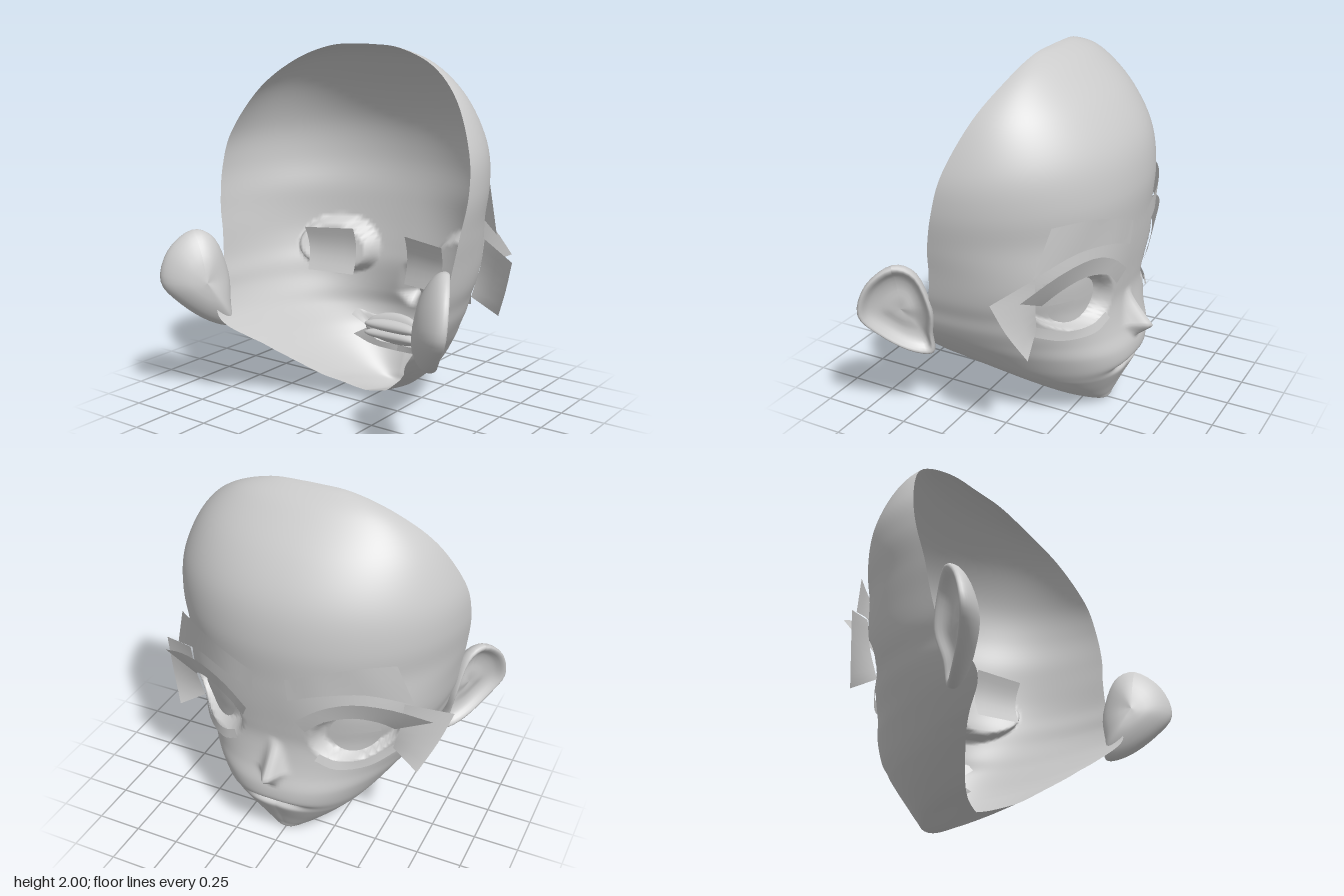
import * as THREE from 'three';

const material = new THREE.MeshStandardMaterial({ color: 0xcccccc, side: THREE.DoubleSide });
const V = (x, y, z) => new THREE.Vector3(x, y, z);
const spline = (pts, closed = false) => new THREE.CatmullRomCurve3(pts, closed, 'catmullrom', 0.5);
const bell = (d, w) => Math.exp(-((d / w) ** 2));
const { smoothstep } = THREE.MathUtils;

// Smooth sheet of nu x nv cells from a point rule fn(u, v)
function sheet(name, fn, nu, nv) {
  const pos = [], idx = [];
  for (let j = 0; j <= nv; j++) {
    for (let i = 0; i <= nu; i++) {
      const p = fn(i / nu, j / nv);
      pos.push(p.x, p.y, p.z);
      if (i < nu && j < nv) {
        const a = j * (nu + 1) + i, b = a + nu + 1;
        idx.push(a, a + 1, b, a + 1, b + 1, b);
      }
    }
  }
  const g = new THREE.BufferGeometry();
  g.setAttribute('position', new THREE.Float32BufferAttribute(pos, 3));
  g.setIndex(idx);
  g.computeVertexNormals();
  const mesh = new THREE.Mesh(g, material);
  mesh.name = name;
  return mesh;
}

// Strip stretched between two edge curves, s mirrors it
function band(name, inner, outer, s, n = 12) {
  const a = spline(inner.map((p) => V(...p))), b = spline(outer.map((p) => V(...p)));
  return sheet(name, (u, v) => {
    const p = a.getPoint(u).lerp(b.getPoint(u), v);
    p.x *= s;
    return p;
  }, n, 2);
}

// Head rows, crown to throat: midline y, z, then open edge x, y, z
const rows = [
  [2, -0.04, 0, 2, -0.04], [1.98, -0.1, 0.22, 1.985, -0.03],
  [1.91, -0.21, 0.45, 1.9, 0], [1.74, -0.38, 0.64, 1.74, 0.08],
  [1.54, -0.5, 0.77, 1.5, 0.175], [1.32, -0.54, 0.8, 1.3, 0.225],
  [1.1, -0.525, 0.78, 1.1, 0.27], [0.95, -0.51, 0.755, 0.95, 0.285],
  [0.8, -0.49, 0.73, 0.8, 0.31], [0.7, -0.48, 0.7, 0.7, 0.35],
  [0.6, -0.49, 0.68, 0.62, 0.41], [0.51, -0.51, 0.64, 0.53, 0.47],
  [0.42, -0.54, 0.59, 0.46, 0.45], [0.34, -0.54, 0.52, 0.38, 0.35],
  [0.29, -0.51, 0.47, 0.335, 0.29], [0.24, -0.485, 0.42, 0.29, 0.24],
  [0.15, -0.44, 0.33, 0.22, 0.16], [0.06, -0.4, 0.22, 0.14, 0.07],
  [0.01, -0.37, 0.13, 0.1, 0.01], [0.01, -0.25, 0.06, 0.075, -0.02],
  [0.06, -0.04, 0, 0.06, -0.04],
];
const midline = spline(rows.map((r) => V(0, r[0], r[1])));
const edge = spline(rows.map((r) => V(r[2], r[3], r[4])));

// Superellipse depth, 1 at the midline to 0 at the edge; the lower face is squarer
function depth(s, y) {
  const p = 0.95 - 0.15 * (1 - smoothstep(y, 0.85, 1.2)) * (0.5 + 0.5 * smoothstep(y, 0.1, 0.5));
  return Math.max(0, 1 - Math.abs(s) ** (2 / p)) ** (p / 2);
}

// Face depth at x, y, before the features are modelled
function faceZ(x, y) {
  let lo = 0, hi = 0.9;
  for (let i = 0; i < 24; i++) {
    const m = (lo + hi) / 2;
    if (midline.getPoint(m).y > y) lo = m; else hi = m;
  }
  const M = midline.getPoint(lo), E = edge.getPoint(lo);
  return E.z + (M.z - E.z) * depth(x / E.x, M.y);
}

// Face shell with nose, mouth crease and eye sockets
function facePoint(u, v) {
  const M = midline.getPoint(v), E = edge.getPoint(v);
  const t = (u - 0.5) * Math.PI, s = Math.sin(t);
  const x = E.x * s;
  let y = E.y + (M.y - E.y) * Math.cos(t);
  let z = E.z + (M.z - E.z) * depth(s, M.y);
  const jaw = smoothstep(v, 0.6, 0.72) * (1 - smoothstep(v, 0.76, 0.92));
  y -= 0.04 * jaw * Math.abs(Math.sin(2 * t));
  if (z < 0 && v < 0.85) {
    const nose = Math.max(0, y > 0.52 ? 1 - (y - 0.52) / 0.19 : 1 - (0.52 - y) / 0.08);
    z -= 0.13 * nose * bell(x, 0.025 + 0.025 * nose);
    z += 0.06 * bell(y - 0.295, 0.025) * bell(x, 0.15);
    const dx = Math.abs(x) - 0.405;
    const e = Math.hypot(dx / 0.205, (y - 0.79 - 0.15 * dx) / 0.16);
    z += 0.085 * (1 - smoothstep(e, 0.82, 1.02));
  }
  return V(x, y, z);
}

// Ear: nested rings around one outline, from back of the cup over the rim into the bowl
const earOutline = spline([
  V(0.83, 0.975, 0.46), V(0.9, 0.87, 0.58), V(0.915, 0.7, 0.63), V(0.84, 0.57, 0.56),
  V(0.745, 0.46, 0.44), V(0.665, 0.43, 0.34), V(0.68, 0.55, 0.33), V(0.72, 0.72, 0.3), V(0.76, 0.92, 0.36),
], true);
const earProfile = spline([ // scale, offset
  [0, -0.13], [0.45, -0.12], [0.78, -0.085], [0.96, -0.045], [1, -0.01],
  [0.96, 0.015], [0.87, 0.01], [0.74, -0.025], [0.5, -0.04], [0.25, -0.03], [0, -0.03],
].map(([s, n]) => V(s, n, 0)));
function ear(s) {
  const centre = V(0.78, 0.7, 0.46), outward = V(0.85, 0, -0.4);
  return sheet('ear', (u, v) => {
    const r = earProfile.getPoint(v);
    const p = centre.clone().lerp(earOutline.getPoint(u), r.x).addScaledVector(outward, r.y);
    p.x *= s;
    return p;
  }, 36, 24);
}

function eye(s) {
  const g = new THREE.Group();
  g.name = 'eye';
  // Rounded iris lying in the socket
  g.add(sheet('iris', (u, v) => {
    const a = u * Math.PI * 2, x = 0.4 + 0.12 * v * Math.cos(a), y = 0.79 + 0.13 * v * Math.sin(a);
    return V(s * x, y, faceZ(x, y) + 0.055);
  }, 28, 4));
  // Curved plate behind the socket
  g.add(sheet('eyePlate', (u, v) => {
    const x = 0.175 + u * (0.285 - 0.02 * v);
    return V(s * x, 0.95 - 0.27 * v + 0.01 * u * (2 * v - 1), -0.17 + 0.08 * u - 0.03 * Math.sin(v * Math.PI));
  }, 4, 6));
  const on = (x, y, lift) => [x, y, faceZ(x, y) - lift];
  // Upper lash overhangs the eye, a separate wing sweeps back behind its corner
  g.add(band('upperLash',
    [on(0.18, 0.82, 0.01), on(0.28, 0.91, 0.01), on(0.42, 0.945, 0.01), on(0.53, 0.9, 0.01), on(0.59, 0.82, 0.01)],
    [on(0.14, 0.9, 0.03), [0.27, 1, -0.51], [0.43, 1.055, -0.47], [0.61, 1.02, -0.38], [0.79, 0.92, -0.26]], s));
  g.add(band('lashWing',
    [on(0.63, 0.98, 0.02), on(0.61, 0.82, 0.015), on(0.57, 0.66, 0.015)],
    [[0.86, 0.91, -0.13], [0.8, 0.74, -0.185], [0.72, 0.57, -0.26]], s, 6));
  g.add(band('lowerLash',
    [on(0.57, 0.68, 0.01), on(0.46, 0.635, 0.01), on(0.34, 0.64, 0.01), on(0.25, 0.68, 0.01)],
    [on(0.59, 0.63, 0.03), on(0.48, 0.585, 0.02), on(0.34, 0.59, 0.02), on(0.23, 0.64, 0.02)], s));
  // Brow
  g.add(band('brow',
    [on(0.1, 1.02, 0.012), on(0.28, 1.085, 0.02), on(0.48, 1.09, 0.025), [0.69, 1.01, -0.275]],
    [on(0.09, 1.15, 0.012), on(0.26, 1.22, 0.02), on(0.43, 1.26, 0.025), [0.61, 1.26, -0.335]], s));
  return g;
}

// Mouth cavity seen from inside: an oval pouch with two lip rolls, and flared corner strips
function mouth() {
  const g = new THREE.Group();
  g.name = 'mouthCavity';
  for (const [name, y, w, h, z] of [
    ['pouch', 0.335, 0.2, 0.095, -0.37], ['upperLip', 0.36, 0.185, 0.036, -0.33], ['lowerLip', 0.305, 0.185, 0.034, -0.33],
  ]) {
    const roll = new THREE.SphereGeometry(1, 28, 14);
    roll.scale(w, h, 0.05);
    const p = roll.attributes.position;
    for (let i = 0; i < p.count; i++) p.setZ(i, p.getZ(i) + 0.9 * p.getX(i) ** 2);
    roll.translate(0, y, z);
    roll.computeVertexNormals();
    const m = new THREE.Mesh(roll, material);
    m.name = name;
    g.add(m);
  }
  for (const s of [1, -1]) {
    g.add(band('upperMouthStrip',
      [[0.08, 0.41, -0.37], [0.17, 0.37, -0.34], [0.19, 0.345, -0.31]],
      [[0.17, 0.4, -0.36], [0.24, 0.435, -0.31], [0.265, 0.4, -0.28]], s, 6));
    g.add(band('lowerMouthStrip',
      [[0, 0.24, -0.37], [0.13, 0.25, -0.35], [0.19, 0.32, -0.32]],
      [[0, 0.2, -0.37], [0.16, 0.215, -0.35], [0.26, 0.28, -0.29]], s, 8));
  }
  return g;
}

export function createModel() {
  const model = new THREE.Group();
  model.name = 'faceShell';
  model.add(sheet('face', facePoint, 110, 120), mouth());
  for (const s of [1, -1]) model.add(ear(s), eye(s));
  return model;
}
